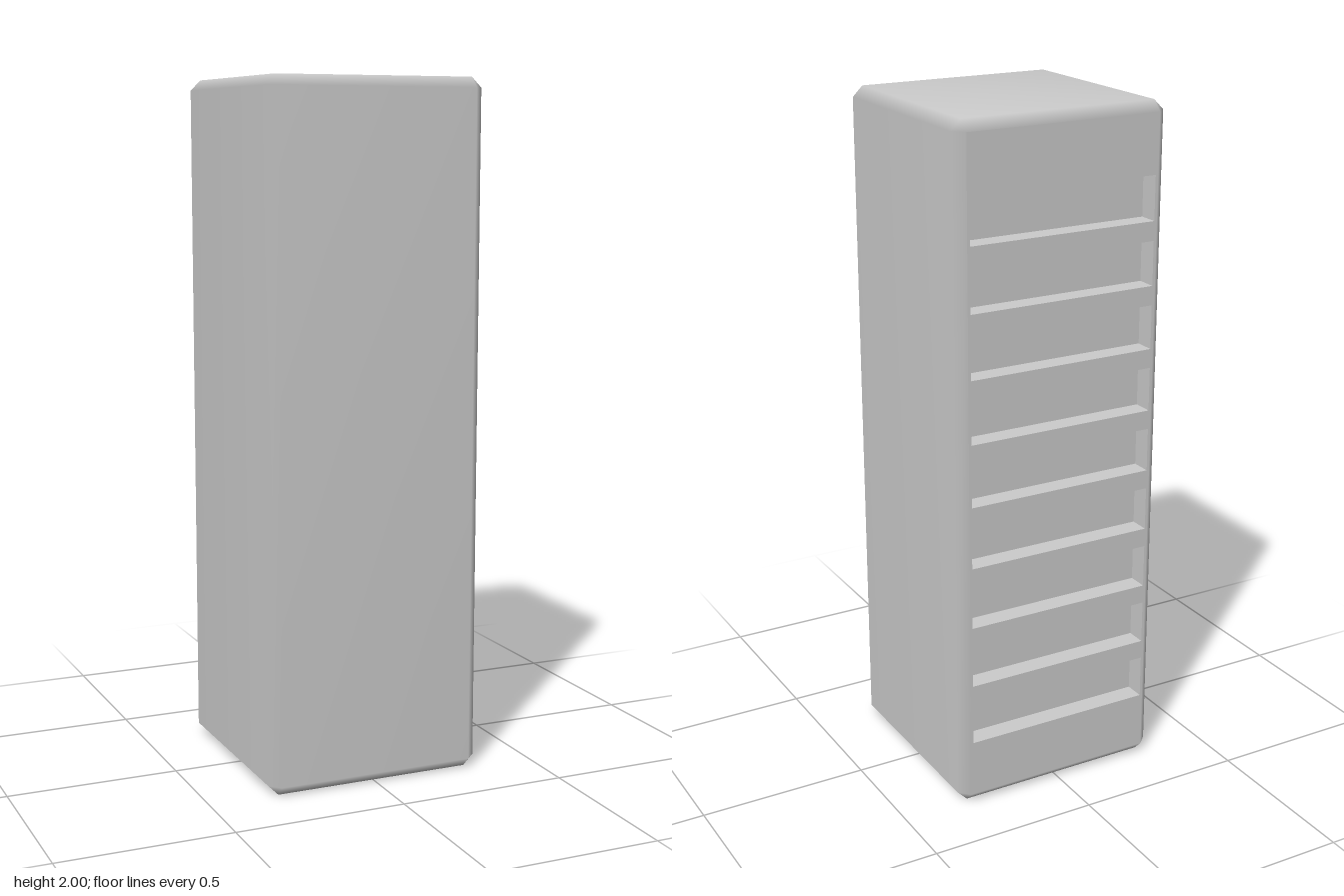
import * as THREE from 'three';
import { mergeVertices } from 'three/addons/utils/BufferGeometryUtils.js';

const W = 0.325, H = 1, C = 0.03;        // half width, half height, chamfer
const w = W - C, t = H - C;
const DEPTH = 0.06;                      // recess depth of the vents
const SLOTS = 9, PITCH = 0.184, SLOT_H = 0.128, SLOT_W = 0.287;

// Chamfered tower lofted from four outlines along z, softly shaded, open at the back
function casingGeometry() {
  const octagon = [[W, -t], [W, t], [w, H], [-w, H], [-W, t], [-W, -t], [-w, -H], [w, -H]];
  const rect = octagon.map(([x, y]) => [Math.sign(x) * w, Math.sign(y) * t]);
  const rings = [[rect, W], [octagon, w], [octagon, -w], [rect, -W]];
  const pos = [], index = [];
  rings.forEach(([pts, z]) => pts.forEach(([x, y]) => pos.push(x, y, z)));
  for (let i = 0; i < 3; i++) {
    for (let j = 0; j < 8; j++) {
      const k = (j + 1) % 8;
      const a = i * 8 + j, b = i * 8 + k, c = b + 8, d = a + 8;
      index.push(a, d, c, a, c, b);
    }
  }
  index.push(0, 1, 3, 0, 3, 5);          // front face
  index.push(24, 27, 25, 24, 29, 27);    // back face, only used to smooth the normals
  let geo = new THREE.BufferGeometry();
  geo.setAttribute('position', new THREE.Float32BufferAttribute(pos, 3));
  geo.setIndex(index);
  geo = mergeVertices(geo);
  geo.computeVertexNormals();
  geo.setIndex(Array.from(geo.index.array).slice(0, -6));
  return geo;
}

// Adds a rectangular outline to a shape or path
function rectangle(path, halfW, y0, y1) {
  path.moveTo(-halfW, y0);
  path.lineTo(halfW, y0);
  path.lineTo(halfW, y1);
  path.lineTo(-halfW, y1);
  path.closePath();
  return path;
}

// Back panel with a column of wide slots
function ventPanelGeometry() {
  const panel = rectangle(new THREE.Shape(), w, -t, t);
  for (let i = 0; i < SLOTS; i++) {
    const y = (i - (SLOTS - 1) / 2) * PITCH;
    panel.holes.push(rectangle(new THREE.Path(), SLOT_W, y - SLOT_H / 2, y + SLOT_H / 2));
  }
  return new THREE.ExtrudeGeometry(panel, { depth: DEPTH, bevelEnabled: false });
}

export function createModel() {
  const model = new THREE.Group();
  model.name = 'ventedTower';
  const grey = new THREE.MeshStandardMaterial({ color: 0xcccccc });
  grey.name = 'grey';

  const add = (name, geometry, z) => {
    const mesh = new THREE.Mesh(geometry, grey);
    mesh.name = name;
    mesh.position.set(0, H, z);
    model.add(mesh);
    return mesh;
  };

  add('casing', casingGeometry(), 0);
  add('ventPanel', ventPanelGeometry(), -W);
  // Floor of the recessed slots, facing backwards
  add('ventFloor', new THREE.PlaneGeometry(2 * w, 2 * t), -W + DEPTH).rotation.y = Math.PI;

  return model;
}
